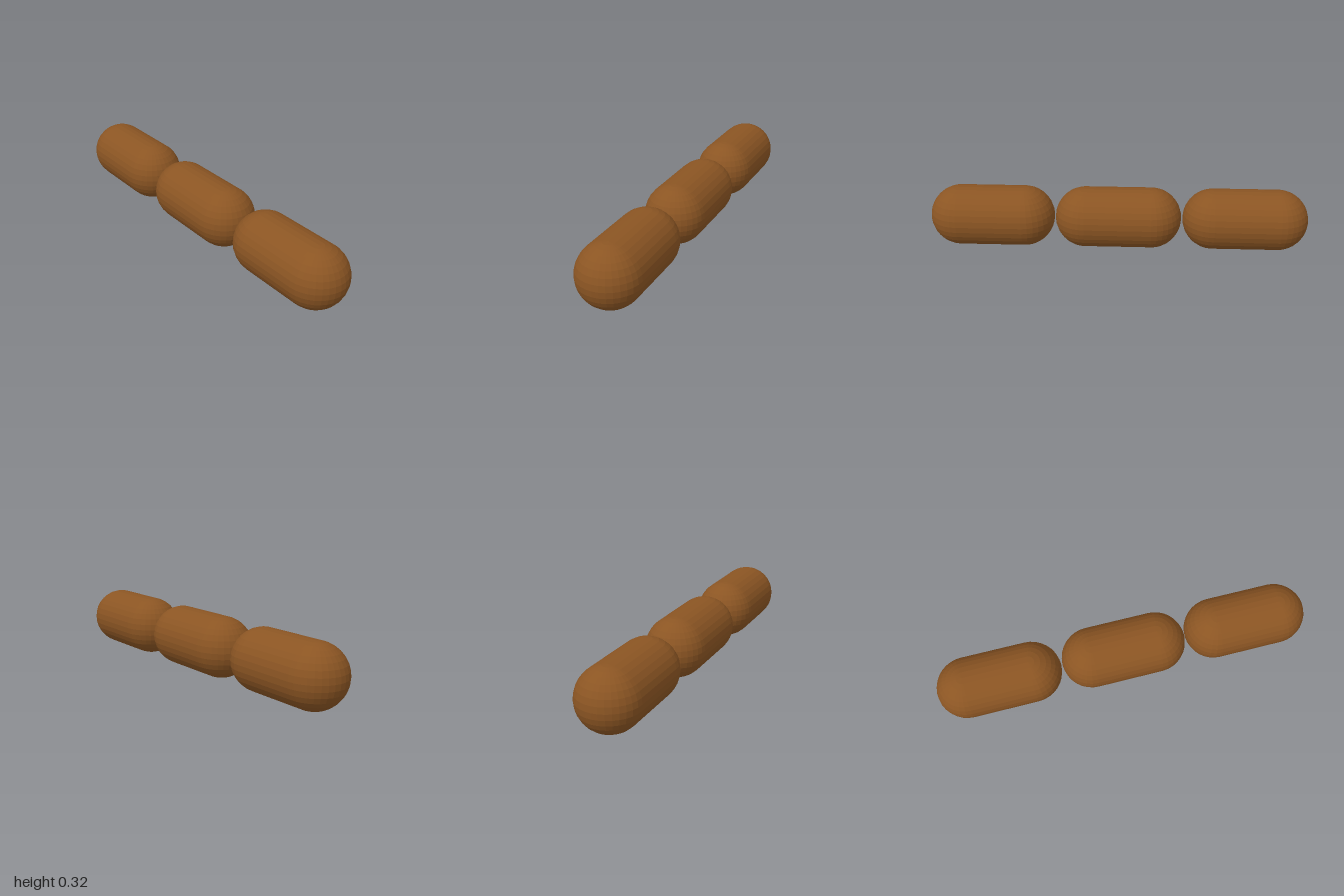
import * as THREE from 'three';

const R = 0.16;

export function createModel() {
  const model = new THREE.Group();
  model.name = 'linkChain';
  const brown = new THREE.MeshStandardMaterial({ color: 0x8b5523, flatShading: true });
  brown.name = 'brown';

  // one rounded link: an open tube along z with a ball at each end
  function addLink(name, zCentre, halfTube) {
    const link = new THREE.Group();
    link.name = name;
    link.position.set(0, R, zCentre);

    const tube = new THREE.Mesh(
      new THREE.CylinderGeometry(R, R, halfTube * 2, 32, 1, true).rotateX(Math.PI / 2), brown);
    tube.name = name + 'Tube';
    link.add(tube);

    for (const side of [1, -1]) {
      // half ball with its poles up and down, open toward the tube
      const start = side > 0 ? 0 : Math.PI;
      const ball = new THREE.Mesh(
        new THREE.SphereGeometry(R, 16, 16, start, Math.PI), brown);
      ball.name = name + (side > 0 ? 'FrontEnd' : 'BackEnd');
      ball.position.z = side * halfTube;
      link.add(ball);
    }
    model.add(link);
  }

  addLink('frontLink', 0.67, 0.17);
  addLink('middleLink', 0, 0.174);
  addLink('backLink', -0.67, 0.17);
  return model;
}
